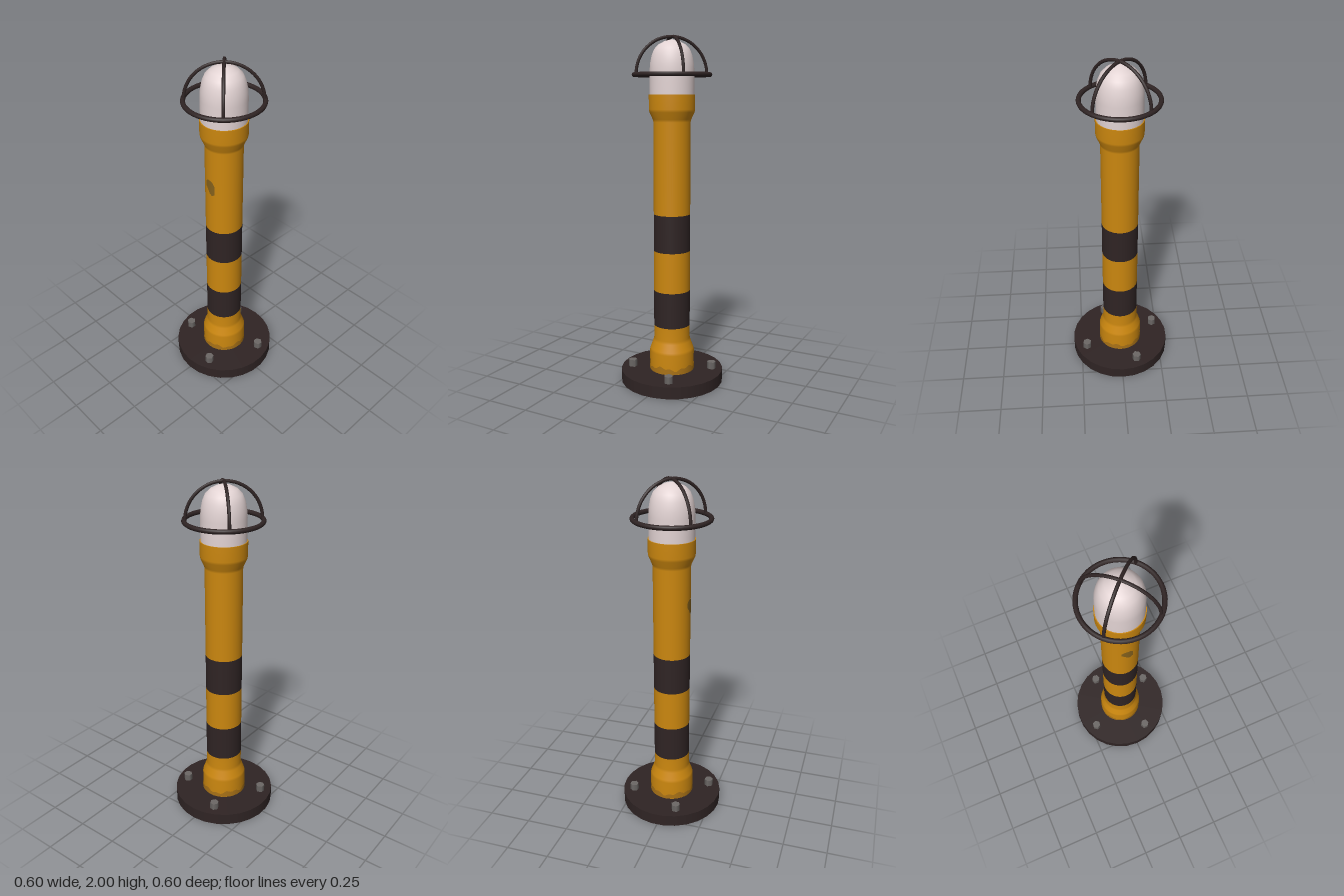
import * as THREE from 'three';

const material = (name, color, side = THREE.FrontSide) => {
  const m = new THREE.MeshStandardMaterial({ color, side });
  m.name = name;
  return m;
};

export function createModel() {
  const group = new THREE.Group();
  const yellow = material('safety yellow', 0xcb870f);
  const dark = material('dark metal', 0x2f2424);
  const glass = material('frosted glass', 0xe2d3d3);
  const steel = material('bolt steel', 0x6c6866);
  const chipped = material('chipped paint', 0x86621c, THREE.DoubleSide);
  const scuffed = material('scuffed paint', 0xa97216, THREE.DoubleSide);

  const add = (name, geometry, mat, x = 0, y = 0, z = 0) => {
    const mesh = new THREE.Mesh(geometry, mat);
    mesh.name = name;
    mesh.position.set(x, y, z);
    group.add(mesh);
    return mesh;
  };
  const lathe = (name, profile, mat) =>
    add(name, new THREE.LatheGeometry(profile.map(p => new THREE.Vector2(...p)), 48), mat);

  // Foot plate with four hex bolts
  add('basePlate', new THREE.CylinderGeometry(0.3, 0.3, 0.07, 26), dark, 0, 0.035, 0).rotation.y = 0;
  for (let i = 0; i < 4; i++) {
    const a = 1.17 + i * Math.PI / 2;
    const bolt = add('bolt', new THREE.CylinderGeometry(0.026, 0.026, 0.042, 6), steel,
      0.235 * Math.cos(a), 0.09, 0.235 * Math.sin(a));
    bolt.rotation.y = Math.PI / 6 - a;
  }

  // Post in painted bands, flared at both ends
  const r = 0.105;
  lathe('postFoot', [[0.13, 0.07], [0.13, 0.185], [0.126, 0.2], [0.109, 0.245], [r, 0.262], [r, 0.34]], yellow);
  lathe('lowerStripe', [[r, 0.34], [r, 0.55]], dark);
  lathe('middleBand', [[r, 0.55], [r, 0.785]], yellow);
  lathe('upperStripe', [[r, 0.785], [r, 1]], dark);
  lathe('postTop', [[r, 1], [r, 1.525], [0.109, 1.54], [0.127, 1.58], [0.13, 1.595], [0.13, 1.677]], yellow);
  lathe('collarRim', [[0.13, 1.677], [0.11, 1.677]], yellow);

  // Lamp dome
  lathe('lamp', [[0.125, 1.67], [0.125, 1.8], [0.122, 1.845], [0.113, 1.89], [0.098, 1.925],
    [0.073, 1.95], [0.04, 1.967], [0, 1.977]], glass);

  // Cage: level ring and two crossed hoops
  const ring = add('cageRing', new THREE.TorusGeometry(0.211, 0.013, 10, 48), dark, 0, 1.785, 0);
  ring.rotation.x = Math.PI / 2;
  for (const s of [-1, 1]) {
    const hoop = add('cageHoop', new THREE.TorusGeometry(0.206, 0.009, 8, 32, Math.PI), dark, 0, 1.785, 0);
    hoop.rotation.y = s * Math.PI / 4;
  }

  // Worn paint: thin curved strips from columns of [angle, low y, high y]
  const wear = (name, radius, columns, mat) => {
    const pos = [], index = [];
    columns.forEach(([a, low, high], i) => {
      for (const y of [low, high]) pos.push(radius * Math.sin(a), y, radius * Math.cos(a));
      const k = 2 * i;
      if (i) index.push(k - 2, k, k + 1, k - 2, k + 1, k - 1);
    });
    const g = new THREE.BufferGeometry();
    g.setAttribute('position', new THREE.Float32BufferAttribute(pos, 3));
    g.setIndex(index);
    g.computeVertexNormals();
    add(name, g, mat);
  };
  wear('paintChip', r + 0.0015, [[-0.33, 1.3, 1.325], [-0.2, 1.285, 1.34], [0, 1.255, 1.342],
    [0.14, 1.248, 1.338], [0.3, 1.258, 1.31]], chipped);
  const scuffs = [];
  for (let i = 0; i <= 64; i++) {
    const a = i / 64 * Math.PI * 2;
    scuffs.push([a, 0.072, 0.103 + 0.008 * Math.sin(5 * a) + 0.006 * Math.sin(13 * a + 1)]);
  }
  wear('footScuffs', 0.1315, scuffs, scuffed);

  return group;
}
